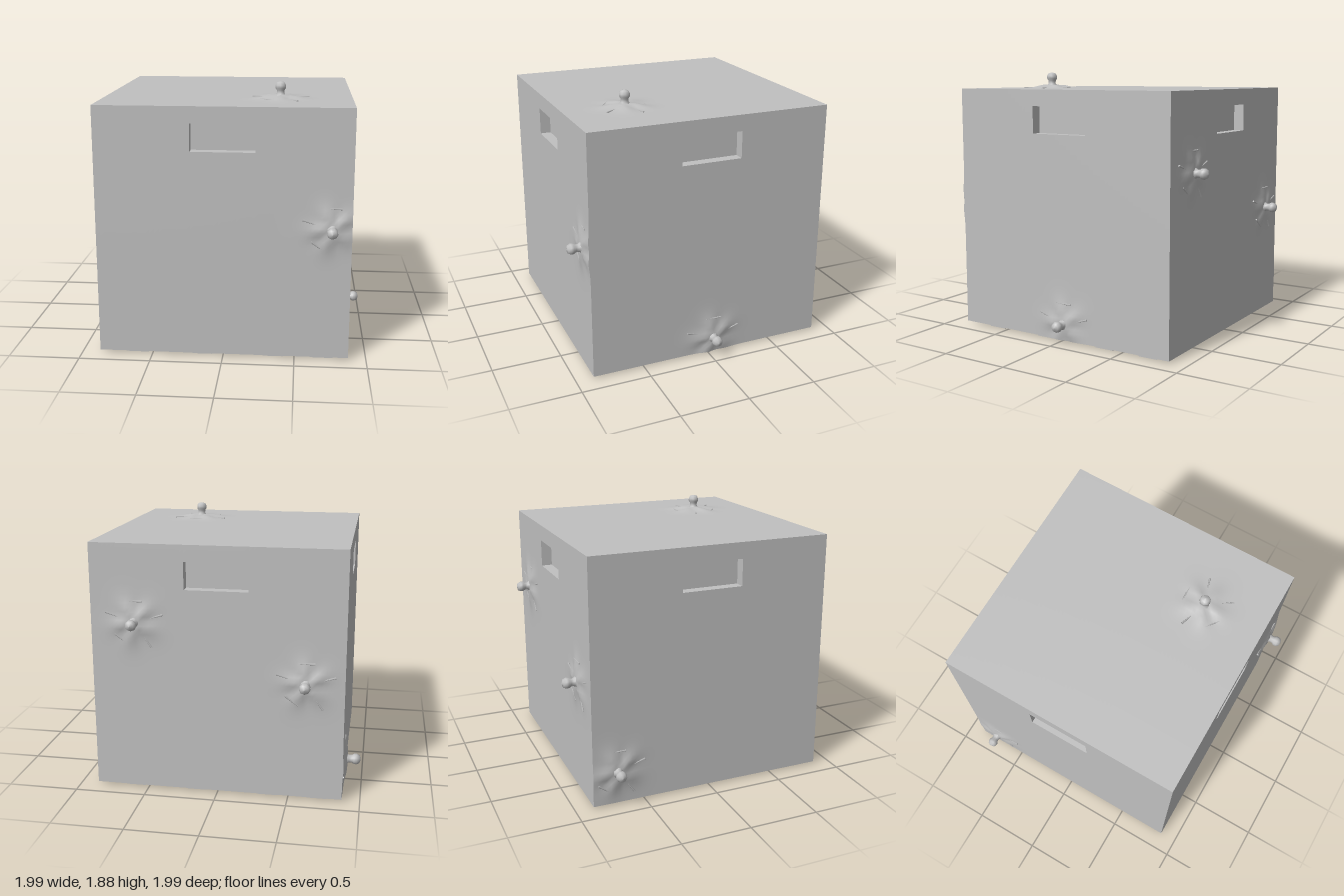
import * as THREE from 'three';

const H = 0.875;   // half size of the crate
const CY = 0.89;   // height of its centre
const V = (x, y, z) => new THREE.Vector3(x, y, z);

// Pockets as [u0, u1, v0, v1, depth]
const HANDLE = [-0.22, 0.22, 0.57, 0.76, 0.075];
const UNDER = [-0.82, 0.82, -0.82, 0.82, 0.05];

// Each face: u axis, v axis, pocket and peg positions [u, v]
const FACES = [
  { name: 'front', u: V(1, 0, 0), v: V(0, 1, 0), hole: HANDLE, pegs: [[0.74, 0.05]] },
  { name: 'right', u: V(0, 0, -1), v: V(0, 1, 0), hole: HANDLE, pegs: [[0.03, -0.76]] },
  { name: 'back', u: V(-1, 0, 0), v: V(0, 1, 0), hole: HANDLE, pegs: [[-0.57, 0.33], [0.61, -0.05]] },
  { name: 'left', u: V(0, 0, 1), v: V(0, 1, 0), hole: HANDLE, pegs: [[-0.7, -0.64]] },
  { name: 'top', u: V(1, 0, 0), v: V(0, 0, -1), hole: null, pegs: [[0.37, -0.43]] },
  { name: 'bottom', u: V(1, 0, 0), v: V(0, 0, 1), hole: UNDER, pegs: [] },
];
for (const f of FACES) {
  f.n = f.u.clone().cross(f.v);
  f.matrix = new THREE.Matrix4().makeBasis(f.u, f.v, f.n).setPosition(0, CY, 0);
}
const onFace = (f, a, b) => V(a, b, H).applyMatrix4(f.matrix);

// Mounds in the skin around each peg
const MOUNDS = FACES.flatMap(f => f.pegs.map(([a, b]) => ({ f, at: onFace(f, a, b) })));

// Push a point out along the face of every nearby peg, with radiating folds
function warp(p) {
  const q = p.clone();
  for (const { f, at } of MOUNDS) {
    const d = p.clone().sub(at);
    const r = d.length();
    const angle = Math.atan2(d.dot(f.v), d.dot(f.u));
    const fold = 1 + 0.6 * Math.cos(5 * angle + at.x * 4) * Math.min(1, r / 0.12);
    q.addScaledVector(f.n, 0.026 * fold * Math.exp(-r * r / 0.018));
  }
  return q;
}

// Even grid lines across a face, with extra lines on the pocket edges
function gridLines(extra) {
  const lines = Array.from({ length: 57 }, (_, i) => -H + (2 * H * i) / 56);
  return [...lines.filter(t => !extra.some(e => Math.abs(e - t) < 0.012)), ...extra].sort((a, b) => a - b);
}

// One warped skin panel, leaving out the pocket opening
function panelGeometry(f) {
  const h = f.hole;
  const us = gridLines(h ? [h[0], h[1]] : []);
  const vs = gridLines(h ? [h[2], h[3]] : []);
  const points = [], index = [];
  for (const v of vs) for (const u of us) points.push(warp(onFace(f, u, v)));
  const w = us.length;
  for (let j = 0; j < vs.length - 1; j++) {
    for (let i = 0; i < w - 1; i++) {
      const cu = (us[i] + us[i + 1]) / 2, cv = (vs[j] + vs[j + 1]) / 2;
      if (h && cu > h[0] && cu < h[1] && cv > h[2] && cv < h[3]) continue;
      const a = j * w + i, c = a + w;
      index.push(a, a + 1, c + 1, a, c + 1, c);
    }
  }
  const g = new THREE.BufferGeometry().setFromPoints(points);
  g.setIndex(index);
  g.computeVertexNormals();
  return g;
}

// Inward-facing box that lines a pocket: mirrored, and open at its outer end
function pocketGeometry([u0, u1, v0, v1, depth]) {
  const g = new THREE.BoxGeometry(u1 - u0, v1 - v0, depth).scale(1, 1, -1);
  g.setIndex(Array.from(g.index.array).slice(0, 30));
  g.computeVertexNormals();
  return g.translate((u0 + u1) / 2, (v0 + v1) / 2, H - depth / 2);
}

export function createModel() {
  const model = new THREE.Group();
  const grey = new THREE.MeshStandardMaterial({ color: 0xc0c0c0 });
  grey.name = 'plain grey';

  const add = (name, geometry, parent = model) => {
    const mesh = new THREE.Mesh(geometry, grey);
    mesh.name = name;
    parent.add(mesh);
    return mesh;
  };

  // Round-headed peg with a flared foot, pointing along +z
  const profile = [[0.06, -0.02], [0.04, 0.005], [0.027, 0.025], [0.028, 0.045], [0.038, 0.06],
    [0.038, 0.078], [0.028, 0.098], [0, 0.106]].map(([x, y]) => new THREE.Vector2(x, y));
  const pegGeometry = new THREE.LatheGeometry(profile, 9).rotateX(Math.PI / 2);
  const creaseGeometry = new THREE.CylinderGeometry(0.003, 0.007, 0.12, 4);

  for (const f of FACES) {
    add(f.name + 'Panel', panelGeometry(f));

    const details = new THREE.Group();
    details.name = f.name + 'Details';
    details.applyMatrix4(f.matrix);
    model.add(details);

    if (f.hole) add(f.name + 'Pocket', pocketGeometry(f.hole), details);

    for (const [a, b] of f.pegs) {
      add(f.name + 'Peg', pegGeometry, details).position.set(a, b, H + 0.012);

      // Thin raised creases around the peg, in turn pointing at it and crossing
      for (let k = 0; k < 5; k++) {
        const angle = 0.3 + k * Math.PI * 0.4;
        const ca = a + 0.15 * Math.cos(angle), cb = b + 0.15 * Math.sin(angle);
        if (Math.max(Math.abs(ca), Math.abs(cb)) > H - 0.07) continue;
        const height = warp(onFace(f, ca, cb)).sub(V(0, CY, 0)).dot(f.n);
        const crease = add(f.name + 'Crease', creaseGeometry, details);
        crease.position.set(ca, cb, height);
        crease.rotation.z = angle + (k % 2 ? 0 : Math.PI / 2);
      }
    }
  }

  // Small burrs under the bottom rim
  for (let i = 0; i < 4; i++) {
    const turn = (i * Math.PI) / 2;
    for (const t of [-0.6, -0.15, 0.35, 0.7]) {
      const burr = add('rimBurr', new THREE.BoxGeometry(0.14, 0.016, 0.012));
      burr.position.set(t, 0.008, 0.845).applyAxisAngle(V(0, 1, 0), turn);
      burr.rotation.y = turn;
    }
  }
  return model;
}
